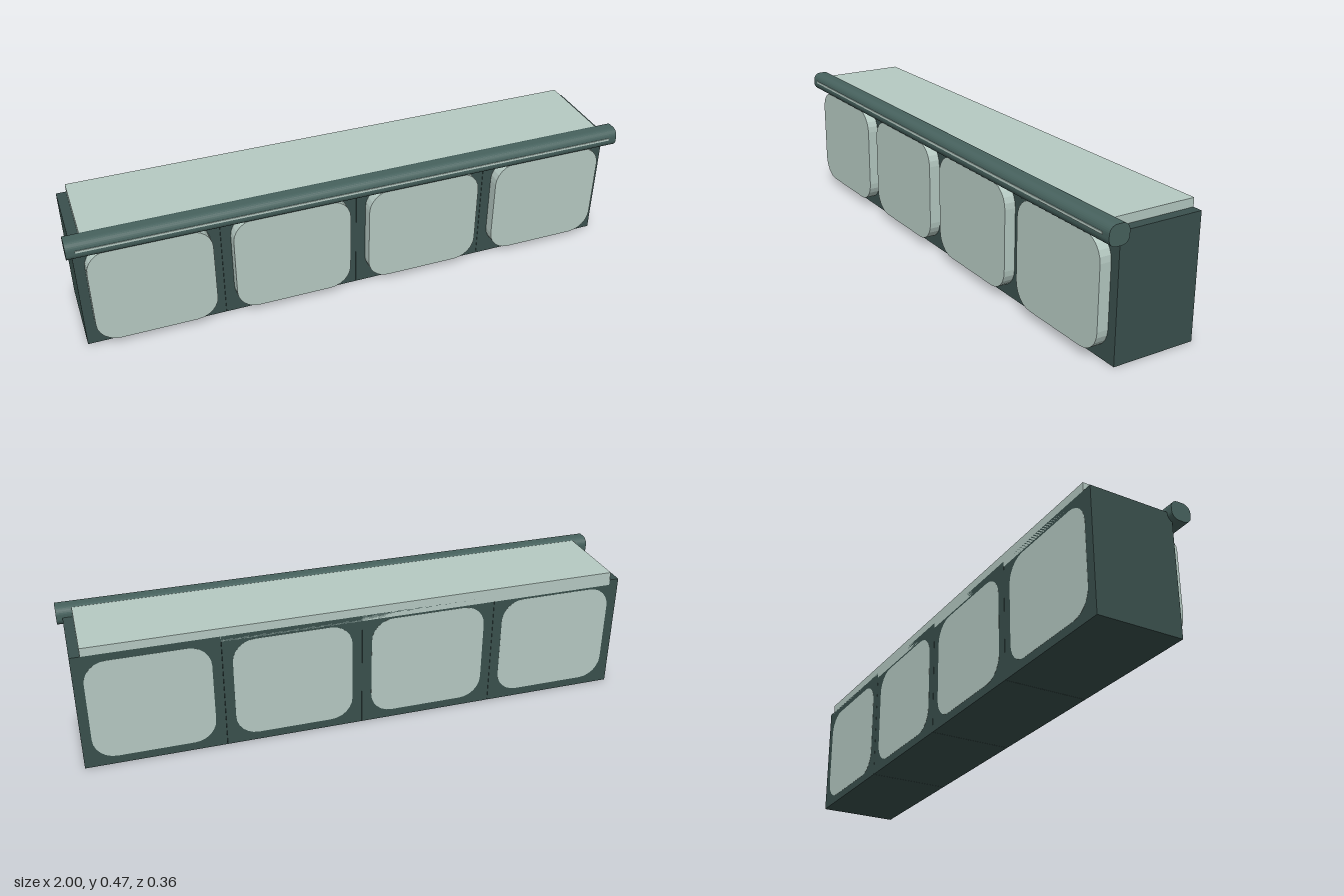
import * as THREE from 'three';

const dark = new THREE.MeshStandardMaterial({ color: 0x3a504d });
const railGreen = new THREE.MeshStandardMaterial({ color: 0x47625e });
const pale = new THREE.MeshStandardMaterial({ color: 0xb6cac3 });

// Rounded rectangle centred on the origin
function roundedRect(w, h, r) {
  const s = new THREE.Shape();
  const x = w / 2 - r, y = h / 2 - r;
  s.absarc(x, y, r, 0, Math.PI / 2);
  s.absarc(-x, y, r, Math.PI / 2, Math.PI);
  s.absarc(-x, -y, r, Math.PI, Math.PI * 1.5);
  s.absarc(x, -y, r, Math.PI * 1.5, Math.PI * 2);
  s.closePath();
  return s;
}

function extrude(shape, depth, curveSegments) {
  return new THREE.ExtrudeGeometry(shape, { depth, curveSegments, bevelEnabled: false });
}

export function createModel() {
  const model = new THREE.Group();
  model.name = 'cabinetRow';

  function add(name, geometry, material, x, y, z) {
    const mesh = new THREE.Mesh(geometry, material);
    mesh.name = name;
    mesh.position.set(x, y, z);
    model.add(mesh);
    return mesh;
  }

  // Four cabinets, each with a rounded panel running through to the back
  const bodyGeo = new THREE.BoxGeometry(0.489, 0.43, 0.302);
  const panelGeo = extrude(roundedRect(0.42, 0.373, 0.078), 0.3425, 3);
  for (let i = 0; i < 4; i++) {
    const x = (i - 1.5) * 0.49;
    add('cabinet' + (i + 1), bodyGeo, dark, x, 0.215, -0.029);
    add('panel' + (i + 1), panelGeo, pale, x, 0.2165, -0.1805);
  }

  // Worktop slab
  add('worktop', new THREE.BoxGeometry(1.89, 0.05, 0.30), pale, 0, 0.435, -0.03);

  // Front rail with rounded section, running along x
  const rail = add('rail', extrude(roundedRect(0.074, 0.068, 0.027), 2, 4), railGreen, -1, 0.431, 0.142);
  rail.rotation.y = Math.PI / 2;

  // Thin trim strip along the rail front
  add('railTrim', new THREE.BoxGeometry(1.94, 0.008, 0.01), pale, 0, 0.434, 0.176);

  return model;
}
